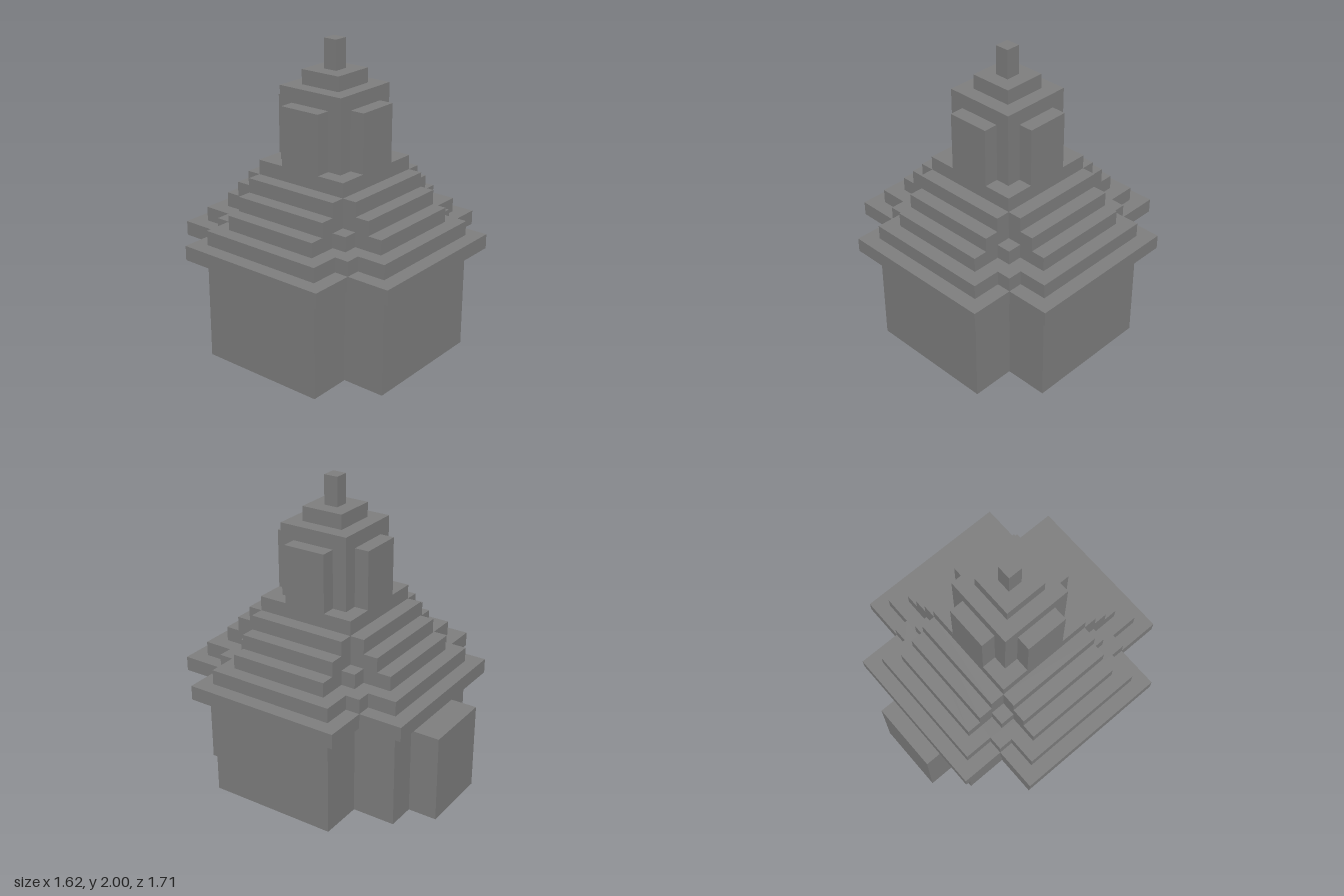
import * as THREE from 'three';

const U = 2 / 21; // one block

export function createModel() {
  const model = new THREE.Group();
  const stone = new THREE.MeshStandardMaterial({ color: 0x808080 });
  stone.name = 'grey stone';

  // Extrudes a stepped outline; corners are the outward corners of one quarter.
  function tier(name, y0, y1, corners) {
    const quarter = [];
    corners.forEach(([x, z], i) => {
      if (i > 0) quarter.push([x, z - (z - corners[i - 1][1])]);
      quarter.push([x, z]);
    });
    const points = [];
    for (let q = 0, pts = quarter; q < 4; q++) {
      pts.forEach(([x, z]) => points.push(new THREE.Vector2(x * U, z * U)));
      pts = pts.map(([x, z]) => [-z, x]);
    }
    const geometry = new THREE.ExtrudeGeometry(new THREE.Shape(points), {
      depth: (y1 - y0) * U, bevelEnabled: false,
    });
    geometry.rotateX(-Math.PI / 2);
    const mesh = new THREE.Mesh(geometry, stone);
    mesh.name = name;
    mesh.position.set(0, y0 * U, U / 2);
    model.add(mesh);
  }

  // Corners of a cross, optionally with a square filling its inner corners.
  const cross = (long, arm, fill) => fill
    ? [[long, arm], [fill, fill], [arm, long]]
    : [[long, arm], [arm, long]];
  const square = (half) => [[half, half]];

  // Walls and eaves
  tier('walls', 0, 7, cross(7.5, 4.5));
  tier('eaves', 7, 8, cross(8.5, 5.5));

  // Stepped roof
  tier('roofStep1', 8, 9, cross(7.5, 4.5, 5.5));
  tier('roofStep2', 9, 10, cross(6.5, 3.5, 4.5));
  tier('roofStep3', 10, 11, cross(5.5, 3.5));
  tier('roofStep4', 11, 12, cross(4.5, 3.5));
  tier('roofStep5', 12, 13, square(3.5));

  // Tower and spire
  tier('tower', 13, 17, cross(3.5, 1.5, 2.5));
  tier('towerStep1', 17, 18, square(2.5));
  tier('towerStep2', 18, 19, square(1.5));
  tier('spire', 19, 21, square(0.5));

  // Porch on the back wall
  const porch = new THREE.Mesh(new THREE.BoxGeometry(5 * U, 6 * U, 2 * U), stone);
  porch.name = 'porch';
  porch.position.set(0, 3 * U, -8 * U);
  model.add(porch);

  return model;
}
